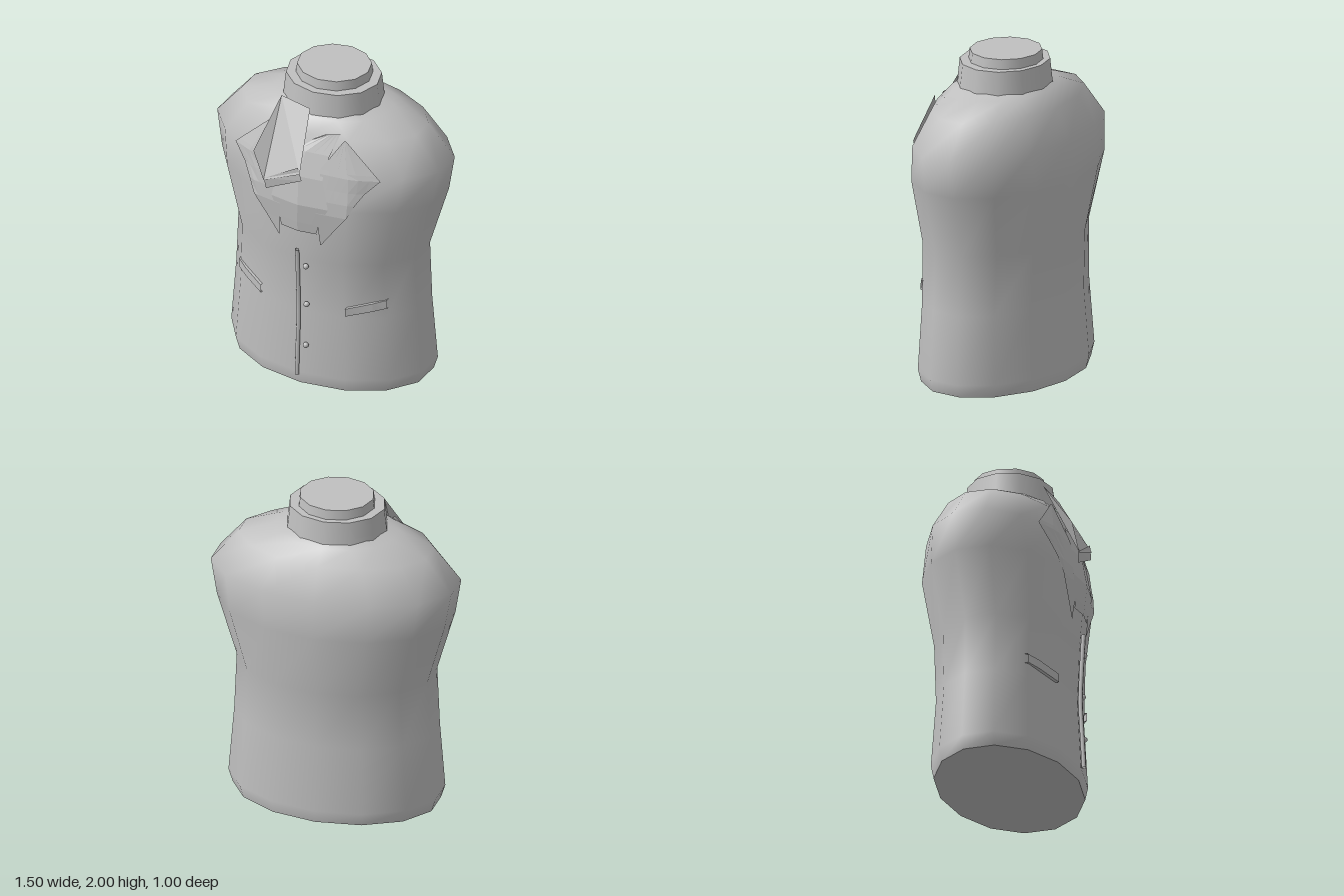
import * as THREE from 'three';

const SIDES = 14;
// torso rings: height, half width, front z, back z
const RINGS = [
  [0, 0.62, 0.425, -0.435], [0.08, 0.645, 0.44, -0.45], [0.5, 0.612, 0.417, -0.42],
  [0.87, 0.595, 0.43, -0.435], [1.27, 0.71, 0.465, -0.5], [1.5, 0.75, 0.42, -0.465],
  [1.7, 0.585, 0.345, -0.38], [1.78, 0.37, 0.29, -0.295], [1.81, 0.26, 0.25, -0.25],
];
const WIDEN = 1 / Math.sin((3 * 2 * Math.PI) / SIDES);

function ringPoint([y, w, f, b], i) {
  const a = (i / SIDES) * Math.PI * 2;
  return [Math.sin(a) * w * WIDEN, y, (f + b) / 2 + Math.cos(a) * (f - b) / 2];
}

// front surface of the torso at a given x and y
function chestZ(x, y) {
  let k = 0;
  while (k < RINGS.length - 2 && RINGS[k + 1][0] < y) k++;
  const t = Math.min(1, (y - RINGS[k][0]) / (RINGS[k + 1][0] - RINGS[k][0]));
  const ring = RINGS[k].map((v, j) => v + (RINGS[k + 1][j] - v) * t);
  const ax = Math.abs(x);
  for (let i = 0; i < 3; i++) {
    const p = ringPoint(ring, i), q = ringPoint(ring, i + 1);
    if (ax <= q[0]) return p[2] + (q[2] - p[2]) * (ax - p[0]) / (q[0] - p[0]);
  }
  return ringPoint(ring, 3)[2];
}

function surface(points, index, flat = false) {
  let g = new THREE.BufferGeometry();
  g.setAttribute('position', new THREE.Float32BufferAttribute(points.flat(), 3));
  g.setIndex(index);
  if (flat) g = g.toNonIndexed();
  g.computeVertexNormals();
  return g;
}

function torsoGeometry() {
  const pts = [], idx = [];
  RINGS.forEach((r) => { for (let i = 0; i < SIDES; i++) pts.push(ringPoint(r, i)); });
  for (let k = 0; k < RINGS.length - 1; k++) {
    for (let i = 0; i < SIDES; i++) {
      const a = k * SIDES + i, b = k * SIDES + (i + 1) % SIDES;
      idx.push(a, b, b + SIDES, a, b + SIDES, a + SIDES);
    }
  }
  return surface(pts, idx);
}

// cloth lying on the chest; rows run top to bottom: [x1, y1, x2, y2, lift1, lift2]
function drape(rows, side = 1, cols = 6) {
  const pts = [], idx = [];
  rows.forEach(([x1, y1, x2, y2, l1, l2 = l1]) => {
    for (let i = 0; i <= cols; i++) {
      const t = side > 0 ? i / cols : 1 - i / cols;
      const x = side * (x1 + (x2 - x1) * t), y = y1 + (y2 - y1) * t;
      pts.push([x, y, chestZ(x, y) + l1 + (l2 - l1) * t]);
    }
  });
  for (let r = 0; r < rows.length - 1; r++) {
    for (let i = 0; i < cols; i++) {
      const a = r * (cols + 1) + i, b = a + cols + 1;
      idx.push(a, b, b + 1, a, b + 1, a + 1);
    }
  }
  return surface(pts, idx, true);
}

export function createModel() {
  const model = new THREE.Group();
  const cloth = new THREE.MeshStandardMaterial({ color: 0xc0c0c0, side: THREE.DoubleSide });
  cloth.name = 'grey cloth';
  const add = (name, geometry, x = 0, y = 0, z = 0) => {
    const m = new THREE.Mesh(geometry, cloth);
    m.name = name;
    m.position.set(x, y, z);
    model.add(m);
    return m;
  };

  // torso and its flat base
  add('torso', torsoGeometry());
  const base = [[0, 0, 0]], fan = [];
  for (let i = 0; i < SIDES; i++) {
    base.push(ringPoint(RINGS[0], i));
    fan.push(0, 1 + (i + 1) % SIDES, 1 + i);
  }
  add('base', surface(base, fan));

  // collar and neck
  add('collar', new THREE.CylinderGeometry(0.293, 0.31, 0.15, 12), 0, 1.865, 0.003).scale.z = 0.89;
  add('neck', new THREE.CylinderGeometry(0.226, 0.24, 0.12, 12), 0, 1.94, -0.004).scale.z = 0.94;

  // lapels with pointed outer corners and lower tails
  for (const side of [1, -1]) {
    add(side > 0 ? 'leftLapel' : 'rightLapel', drape([
      [0.25, 1.71, 0.26, 1.71, 0.035],
      [0.13, 1.52, 0.46, 1.52, 0.012, 0.02],
      [0.13, 1.49, 0.49, 1.49, 0.012, 0.02],
      [0.13, 1.4, 0.405, 1.4, 0.012],
      [0.12, 1.32, 0.355, 1.32, 0.012],
      [0.12, 1.23, 0.31, 1.23, 0.012],
      [0.13, 1.12, 0.228, 1.12, 0.01],
      [0.138, 1.0, 0.142, 1.0, 0.008],
    ], side));
    // sloping pocket welt
    add(side > 0 ? 'leftPocket' : 'rightPocket', drape([
      [0.285, 0.576, 0.5, 0.632, 0],
      [0.285, 0.574, 0.5, 0.63, 0.02],
      [0.285, 0.522, 0.5, 0.574, 0.02],
      [0.285, 0.52, 0.5, 0.572, 0],
    ], side, 3));
  }

  // scarf between the lapels
  add('scarf', drape([
    [0.12, 1.715, 0.21, 1.73, 0.012],
    [-0.13, 1.6, 0.17, 1.6, 0.012],
    [-0.15, 1.45, 0.15, 1.45, 0.016],
    [-0.18, 1.27, 0.2, 1.27, 0.012],
    [-0.13, 1.14, 0.13, 1.14, 0.01],
    [-0.12, 1.075, 0.12, 1.075, 0.008],
  ]));

  // loose flap hanging from the collar, with its turned end
  add('flap', surface([
    [-0.21, 1.86, 0.268], [0, 1.845, 0.3], [0.035, 1.5, 0.497],
    [-0.21, 1.39, 0.495], [-0.29, 1.56, 0.472],
  ], [0, 4, 3, 0, 3, 2, 0, 2, 1], true));
  add('flapEnd', surface([
    [-0.21, 1.4, 0.49], [0.02, 1.54, 0.49], [0.045, 1.455, 0.49], [-0.2, 1.33, 0.482],
  ], [0, 3, 2, 0, 2, 1], true));

  // front placket
  const path = [0.075, 0.29, 0.51, 0.73, 0.945].map(
    (y) => new THREE.Vector3(-0.003, y, chestZ(0, y) + 0.02));
  add('placket', new THREE.TubeGeometry(new THREE.CatmullRomCurve3(path), 10, 0.014, 6));

  // buttons
  for (const y of [0.835, 0.565, 0.285]) {
    add('button', new THREE.SphereGeometry(0.018, 10, 8), 0.05, y, chestZ(0.05, y) + 0.025);
  }
  return model;
}
